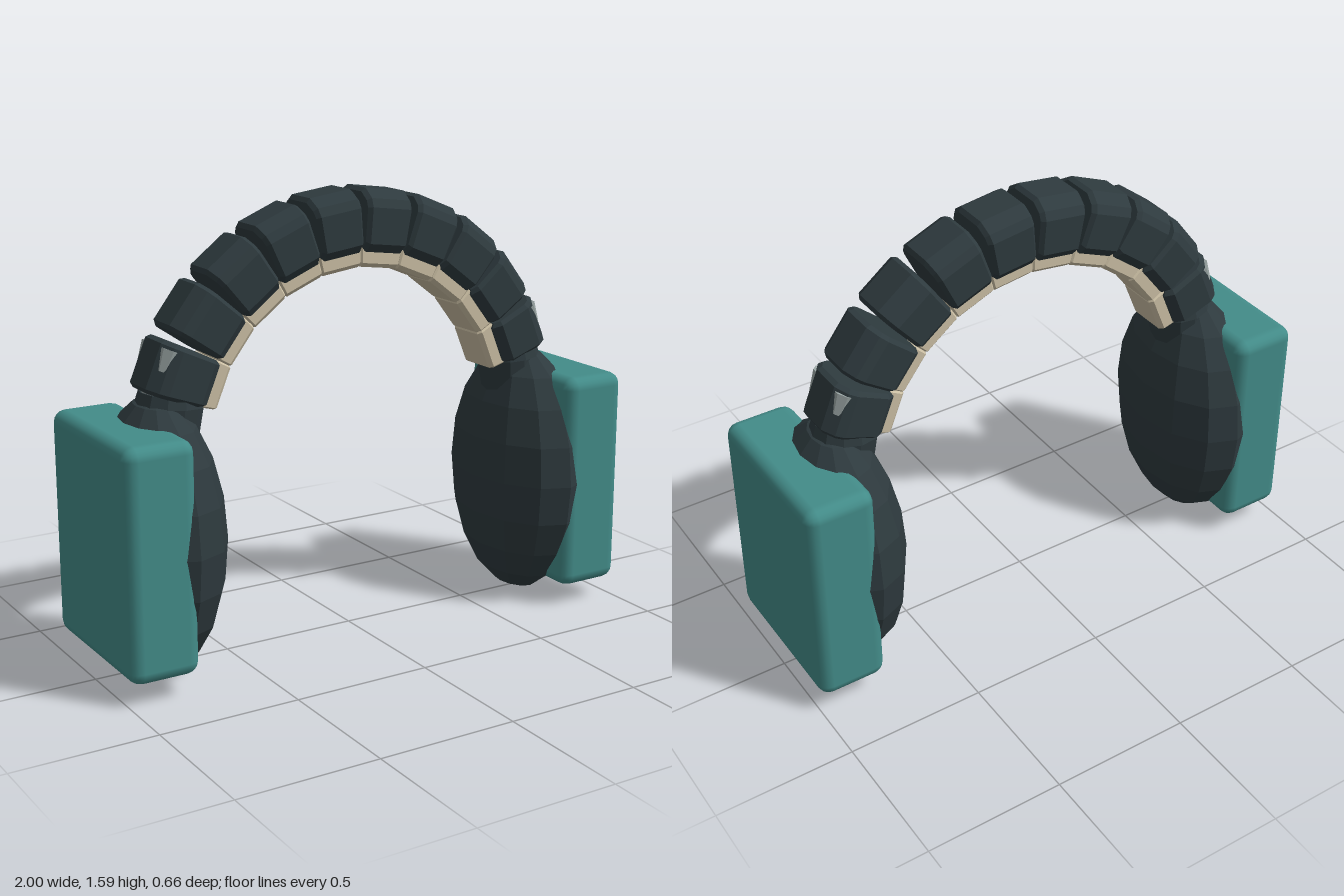
import * as THREE from 'three';
import { RoundedBoxGeometry } from 'three/addons/geometries/RoundedBoxGeometry.js';

const mat = (color, flatShading = true) => new THREE.MeshStandardMaterial({ color, flatShading });
const dark = mat(0x2e3a3e), teal = mat(0x438c89, false), cream = mat(0xcbbfa4), silver = mat(0x98a3a2);
const ARC_Y = 0.75; // centre height of the headband arc
const STEP = THREE.MathUtils.degToRad(15);

function add(parent, name, geometry, material, x = 0, y = 0, z = 0) {
  const mesh = new THREE.Mesh(geometry, material);
  mesh.name = name;
  mesh.position.set(x, y, z);
  parent.add(mesh);
  return mesh;
}

// Bevelled wedge: [z, radius] half profile, extruded along the arc and narrowed towards its centre
function wedge(half, length, bevel, innerScale) {
  const mirrored = half.map(([z, r]) => [-z, r]).reverse();
  const shape = new THREE.Shape([...half, ...mirrored].map(([z, r]) => new THREE.Vector2(z, r)));
  const depth = length - 2 * bevel;
  const geo = new THREE.ExtrudeGeometry(shape, {
    depth, bevelEnabled: true, bevelThickness: bevel, bevelSize: bevel, bevelOffset: -bevel, bevelSegments: 1,
  });
  geo.translate(0, 0, -depth / 2).rotateY(Math.PI / 2);
  const rs = half.map((p) => p[1]), lo = Math.min(...rs), hi = Math.max(...rs);
  const pos = geo.attributes.position;
  for (let i = 0; i < pos.count; i++) {
    const t = (pos.getY(i) - lo) / (hi - lo);
    pos.setX(i, pos.getX(i) * THREE.MathUtils.lerp(innerScale, 1, t));
  }
  geo.computeVertexNormals();
  return geo;
}

function earSide() {
  const side = new THREE.Group();
  // Outer housing and faceted cushion
  add(side, 'earHousing', new RoundedBoxGeometry(0.25, 0.8, 0.62, 2, 0.045), teal, 0.875, 0.48, 0);
  add(side, 'earCushion', new THREE.SphereGeometry(1, 12, 10).scale(0.21, 0.475, 0.328), dark, 0.755, 0.48, 0);

  // Neck joining the cushion to the headband
  const neck = new THREE.Group();
  neck.name = 'neck';
  neck.position.set(0.692, 0.945, 0);
  neck.rotation.z = 0.08;
  side.add(neck);
  add(neck, 'neckStem', new THREE.CylinderGeometry(0.112, 0.09, 0.22, 12), dark, 0, -0.12, 0);
  add(neck, 'neckCollar', new THREE.CylinderGeometry(0.11, 0.12, 0.04, 12), dark);
  add(neck, 'neckRing', new THREE.CylinderGeometry(0.105, 0.105, 0.03, 12), silver, 0, 0.025, 0);

  // Pair of tapered clips on the lowest band segment
  const clips = new THREE.Group();
  clips.name = 'clips';
  clips.position.y = ARC_Y;
  clips.rotation.z = -4.5 * STEP;
  side.add(clips);
  for (const s of [-1, 1]) {
    const geo = new THREE.CylinderGeometry(0.036, 0.022, 0.075, 6).rotateZ(Math.PI / 2).scale(1, 0.55, 1);
    add(clips, 'clip', geo, silver, -0.03, 0.817, s * 0.085).rotation.x = s * 0.75;
  }
  return side;
}

export function createModel() {
  const model = new THREE.Group();
  model.name = 'headphones';

  // Headband: ten armoured segments over ten inner pads
  const band = new THREE.Group();
  band.name = 'headband';
  model.add(band);
  const segmentGeo = wedge(
    [[0.095, 0.63], [0.12, 0.66], [0.12, 0.785], [0.105, 0.815], [0.06, 0.845]], 0.186, 0.014, 0.87);
  const padGeo = wedge([[0.07, 0.575], [0.085, 0.59], [0.085, 0.645]], 0.168, 0.006, 0.9);
  for (let i = 0; i < 10; i++) {
    const angle = (i - 4.5) * STEP;
    add(band, 'bandSegment', segmentGeo, dark, 0, ARC_Y, 0).rotation.z = -angle;
    add(band, 'bandPad', padGeo, cream, 0, ARC_Y, 0).rotation.z = -angle;
  }

  // Left and right ear pieces
  const left = earSide();
  left.name = 'leftEar';
  const right = earSide();
  right.name = 'rightEar';
  right.rotation.y = Math.PI;
  model.add(left, right);
  return model;
}
